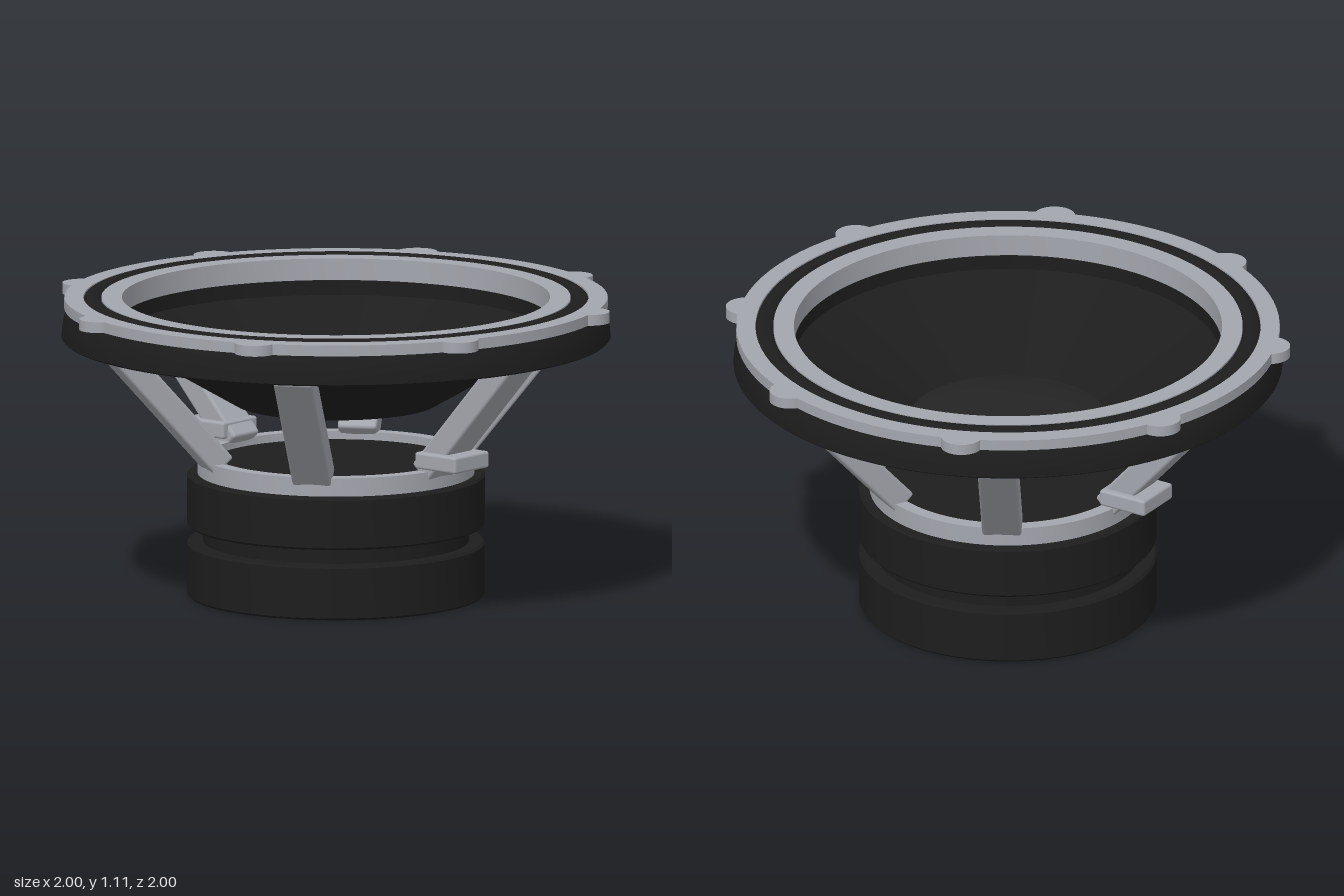
import * as THREE from 'three';
import { toCreasedNormals } from 'three/addons/utils/BufferGeometryUtils.js';
import { RoundedBoxGeometry } from 'three/addons/geometries/RoundedBoxGeometry.js';

const metal = new THREE.MeshStandardMaterial({ name: 'grey metal', color: 0xa3a6ad });
const black = new THREE.MeshStandardMaterial({ name: 'black', color: 0x1d1d1d });
const cap = new THREE.MeshStandardMaterial({ name: 'dust cap black', color: 0x242424 });

export function createModel() {
  const model = new THREE.Group();
  model.name = 'loudspeaker';

  const add = (name, geometry, material, parent = model) => {
    const mesh = new THREE.Mesh(geometry, material);
    mesh.name = name;
    parent.add(mesh);
    return mesh;
  };
  // Revolves [radius, height] points, listed counter-clockwise
  const turned = (name, points, material) => {
    const profile = points.map(([r, y]) => new THREE.Vector2(r, y));
    return add(name, toCreasedNormals(new THREE.LatheGeometry(profile, 96), 0.5), material);
  };

  // Magnet stack with a groove and a vent hole underneath
  turned('magnet', [
    [0, 0.15], [0.075, 0.15], [0.075, 0], [0.535, 0], [0.543, 0.008],
    [0.543, 0.192], [0.535, 0.2], [0.485, 0.2], [0.485, 0.26], [0.535, 0.26],
    [0.543, 0.268], [0.543, 0.444], [0.535, 0.452], [0.46, 0.452], [0.46, 0.49], [0, 0.49],
  ], black);
  turned('topPlate', [[0.455, 0.45], [0.505, 0.45], [0.505, 0.52], [0.455, 0.52], [0.455, 0.45]], metal);

  // Upper frame: outer flange, channel for the surround, inner ring
  turned('basketRing', [
    [0.795, 0.955], [0.975, 0.955], [0.975, 1.06], [0.99, 1.06], [0.99, 1.1],
    [0.92, 1.1], [0.92, 1.07], [0.855, 1.07], [0.855, 1.1], [0.78, 1.1],
    [0.78, 1.02], [0.795, 1.02], [0.795, 0.955],
  ], metal);
  turned('rim', [
    [0.965, 0.955], [0.965, 0.95], [0.995, 0.95], [1, 0.955], [0.998, 0.985],
    [0.993, 1.015], [0.985, 1.045], [0.98, 1.06], [0.965, 1.06],
  ], black);
  const roll = [];
  for (let i = 0; i <= 8; i++) {
    const a = (i / 8) * Math.PI;
    roll.push([0.8875 + 0.0325 * Math.cos(a), 1.09 + 0.016 * Math.sin(a)]);
  }
  turned('surround', roll, black);

  // Cone and low domed dust cap
  turned('cone', [
    [0, 0.71], [0.37, 0.71], [0.79, 0.955], [0.79, 1.019], [0.779, 1.019],
    [0.779, 0.965], [0.36, 0.735], [0, 0.735],
  ], black);
  turned('dustCap', [[0.36, 0.734], [0.34, 0.741], [0.24, 0.756], [0.12, 0.765], [0, 0.768]], cap);

  // Eight mounting lobes on the flange
  for (let i = 0; i < 8; i++) {
    const pivot = new THREE.Group();
    pivot.name = 'mountingLobe';
    pivot.rotation.y = (i + 0.5) * Math.PI / 4;
    const lobe = add('lobe', new THREE.CylinderGeometry(0.075, 0.075, 0.04, 24, 1, false, -Math.PI / 2, Math.PI), metal, pivot);
    lobe.position.set(0, 1.08, 0.968);
    model.add(pivot);
  }

  // Six sloping spokes
  const low = new THREE.Vector2(0.455, 0.51);
  const high = new THREE.Vector2(0.862, 0.965);
  const run = high.clone().sub(low);
  const spokeGeometry = new RoundedBoxGeometry(0.094, run.length(), 0.145, 2, 0.012);
  for (let i = 0; i < 6; i++) {
    const pivot = new THREE.Group();
    pivot.name = 'basketSpoke';
    pivot.rotation.y = i * Math.PI / 3;
    const spoke = add('spoke', spokeGeometry, metal, pivot);
    spoke.position.set((low.x + high.x) / 2, (low.y + high.y) / 2, 0);
    spoke.rotation.z = -Math.atan2(run.x, run.y);
    model.add(pivot);
  }

  // Terminal blocks on both sides
  for (const side of [1, -1]) {
    const name = side > 0 ? 'leftTerminal' : 'rightTerminal';
    add(name, new RoundedBoxGeometry(0.195, 0.062, 0.195, 2, 0.01), metal).position.set(side * 0.553, 0.562, 0);
  }
  return model;
}
